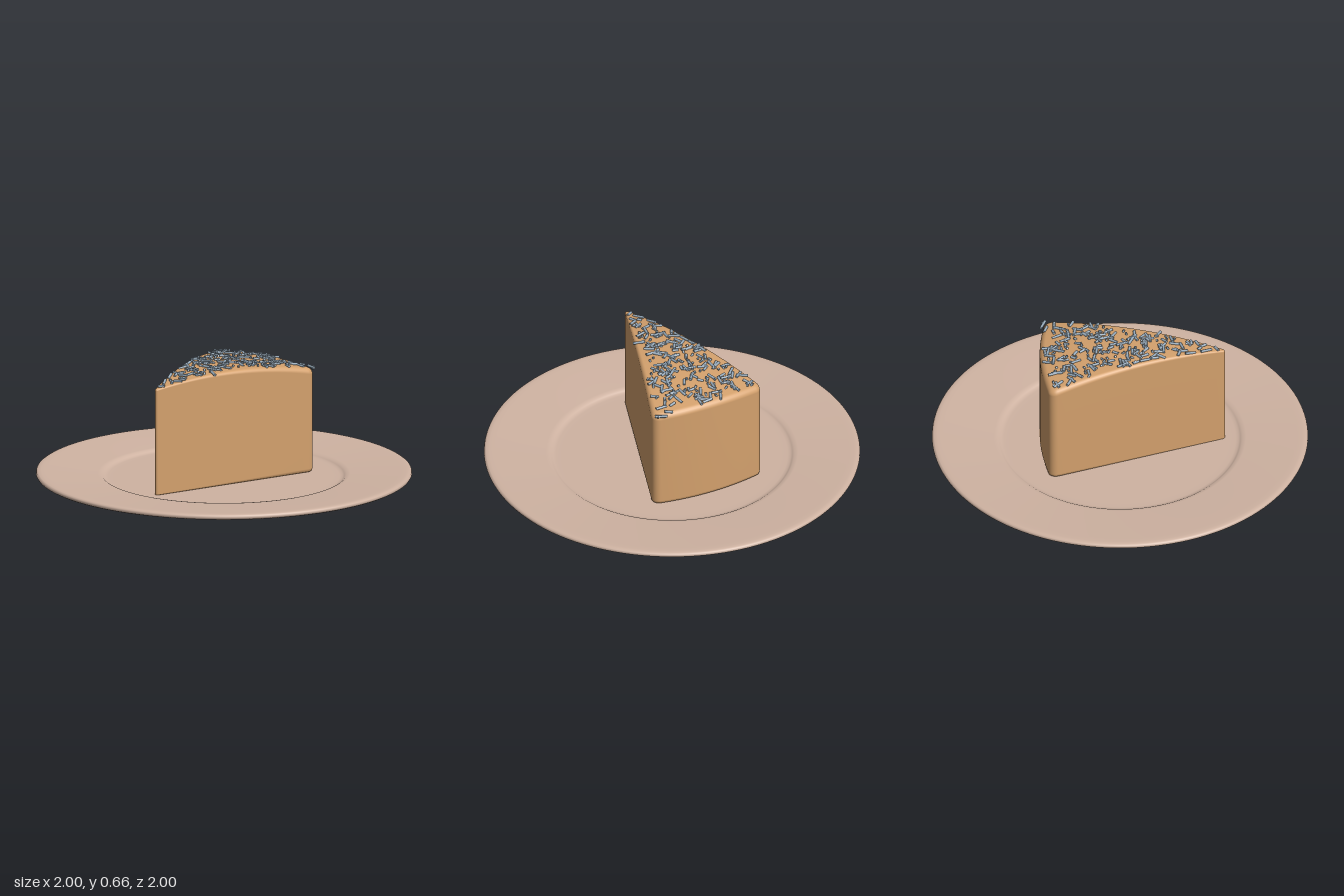
import * as THREE from 'three';
import { mergeGeometries } from 'three/addons/utils/BufferGeometryUtils.js';

const plateMat = new THREE.MeshStandardMaterial({ name: 'plate beige', color: 0xcfb3a2 });
const cakeMat = new THREE.MeshStandardMaterial({ name: 'caramel cake', color: 0xd4a16d });
const sprinkleMat = new THREE.MeshStandardMaterial({ name: 'sprinkle blue grey', color: 0x98abbb });

const FLOOR = 0.03;
// height of the domed cake top
const dome = (x, z) => 0.652 - 0.19 * ((x + 0.08) ** 2 + z * z);

// small seeded generator
function seeded(seed) {
  return () => {
    seed = (seed * 1664525 + 1013904223) % 4294967296;
    return seed / 4294967296;
  };
}

function makePlate() {
  const profile = [
    [0, 0], [0.6, 0], [0.625, 0.001], [0.64, 0.007], [0.655, 0.011], [0.7, 0.014],
    [0.96, 0.033], [0.985, 0.036], [0.996, 0.042], [1, 0.05], [0.997, 0.059],
    [0.988, 0.064], [0.97, 0.065], [0.94, 0.0635], [0.67, 0.047], [0.65, 0.044],
    [0.64, 0.037], [0.63, 0.032], [0.615, FLOOR], [0.58, FLOOR], [0, FLOOR],
  ].map(([x, y]) => new THREE.Vector2(x, y));
  return new THREE.LatheGeometry(profile, 128);
}

// Wedge outline as base points with an outward normal and a corner radius
function wedgeOutline() {
  const tip = { x: -0.545, z: 0, r: 0.012 }, back = { x: 0.355, z: 0.279, r: 0.042 };
  const sideAngle = 1.91, backAngle = 0.2;
  const half = []; // tip to the middle of the back, on the +z side
  const add = (x, z, a, r) => half.push({ x, z, nx: Math.cos(a), nz: Math.sin(a), r });
  for (let i = 0; i < 5; i++) add(tip.x, 0, Math.PI + (sideAngle - Math.PI) * i / 5, tip.r);
  for (let i = 0; i <= 24; i++) {
    const t = i / 24;
    add(tip.x + (back.x - tip.x) * t, back.z * t, sideAngle, tip.r + (back.r - tip.r) * t);
  }
  for (let i = 1; i <= 8; i++) add(back.x, back.z, sideAngle + (backAngle - sideAngle) * i / 8, back.r);
  for (let i = 1; i <= 8; i++) {
    const t = 1 - i / 8;
    add(0.385 - 0.03 * t * t, back.z * t, backAngle * t, back.r);
  }
  const mirrored = half.slice(1, -1).reverse().map(p => ({ ...p, z: -p.z, nz: -p.nz }));
  return half.concat(mirrored);
}

// Cake body: rings from the base, up the wall, over the rounded edge, in to the crown
function makeCake() {
  const outline = wedgeOutline();
  const n = outline.length, centre = 0.1;
  const rings = [
    { k: 0.7, s: 0, y: () => FLOOR },
    { k: 0.7, s: 1, y: () => FLOOR },
    { k: 0.92, s: 1, y: p => FLOOR + p.r * 0.15 },
    { k: 1, s: 1, y: p => FLOOR + p.r * 0.5 },
  ];
  for (let i = 0; i <= 6; i++) {
    const a = i / 6 * Math.PI / 2;
    rings.push({
      k: 1 - 0.7 * (1 - Math.cos(a)), s: 1,
      y: (p, x, z) => dome(x, z) - 0.7 * p.r * (1 - Math.sin(a)),
    });
  }
  for (let i = 1; i <= 8; i++) rings.push({ k: 0.3, s: 1 - i / 8, y: (p, x, z) => dome(x, z) });

  const pos = [], index = [];
  for (const ring of rings) {
    for (const p of outline) {
      const x = centre + (p.x + p.nx * p.r * ring.k - centre) * ring.s;
      const z = (p.z + p.nz * p.r * ring.k) * ring.s;
      pos.push(x, ring.y(p, x, z), z);
    }
  }
  for (let j = 0; j < rings.length - 1; j++) {
    for (let i = 0; i < n; i++) {
      const a = j * n + i, b = j * n + (i + 1) % n;
      index.push(a, b, a + n, b, b + n, a + n);
    }
  }
  const geo = new THREE.BufferGeometry();
  geo.setAttribute('position', new THREE.Float32BufferAttribute(pos, 3));
  geo.setIndex(index);
  geo.computeVertexNormals();
  return geo;
}

// Short rods scattered over the crown, some nearly upright
function makeSprinkles() {
  const rand = seeded(71), parts = [];
  const up = new THREE.Vector3(0, 1, 0), one = new THREE.Vector3(1, 1, 1);
  while (parts.length < 230) {
    const x = -0.53 + 0.93 * rand(), z = (rand() * 2 - 1) * 0.31;
    if (Math.abs(z) > 0.32 * (x + 0.55)) continue;
    const upright = rand() < 0.35;
    const length = upright ? 0.02 : 0.025 + 0.045 * rand();
    const yaw = rand() * Math.PI * 2;
    const pitch = upright ? 0.7 + 0.7 * rand() : (rand() - 0.5) * 0.3;
    const dir = new THREE.Vector3(Math.cos(yaw) * Math.cos(pitch), Math.sin(pitch), Math.sin(yaw) * Math.cos(pitch));
    dir.y -= 0.38 * ((x + 0.08) * dir.x + z * dir.z); // follow the dome
    dir.normalize();
    const turn = new THREE.Quaternion().setFromUnitVectors(up, dir);
    const radius = upright ? 0.006 : 0.0075;
    const rod = new THREE.CylinderGeometry(radius, radius, length, 8);
    const place = new THREE.Vector3(x, dome(x, z) + 0.002, z);
    parts.push(rod.applyMatrix4(new THREE.Matrix4().compose(place, turn, one)));
  }
  return mergeGeometries(parts);
}

export function createModel() {
  const model = new THREE.Group();
  model.name = 'cakeSliceOnPlate';
  const part = (parent, name, geo, mat) => {
    const mesh = new THREE.Mesh(geo, mat);
    mesh.name = name;
    parent.add(mesh);
  };
  part(model, 'plate', makePlate(), plateMat);

  const slice = new THREE.Group();
  slice.name = 'cakeSlice';
  slice.position.z = -0.015;
  part(slice, 'cakeBody', makeCake(), cakeMat);
  part(slice, 'sprinkles', makeSprinkles(), sprinkleMat);
  model.add(slice);
  return model;
}
